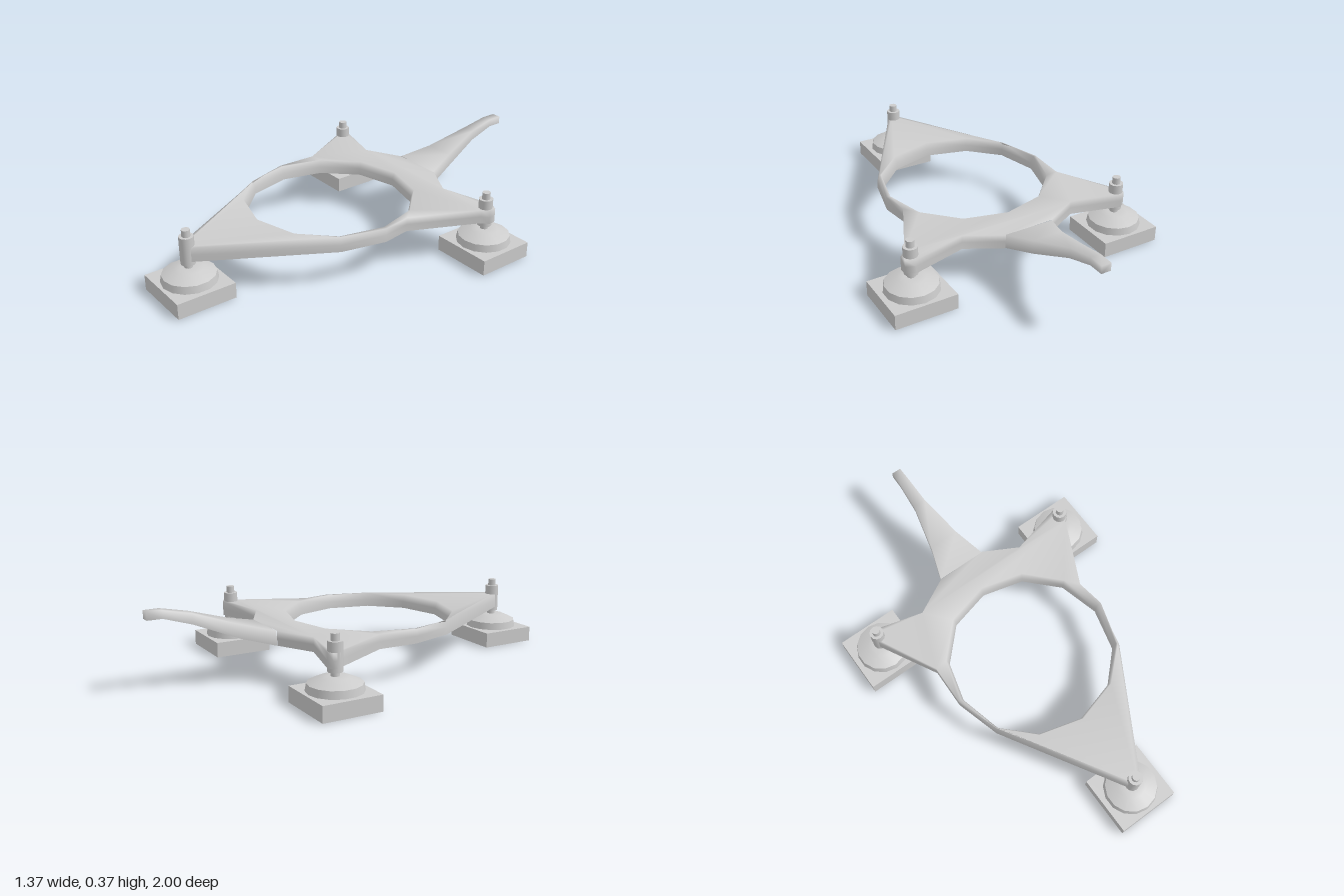
import * as THREE from 'three';
import { mergeVertices } from 'three/addons/utils/BufferGeometryUtils.js';

const material = new THREE.MeshStandardMaterial({ color: 0xcccccc, side: THREE.DoubleSide });
const flat = new THREE.MeshStandardMaterial({ color: 0xcccccc, flatShading: true, side: THREE.DoubleSide });

function add(parent, name, geometry, mat = material) {
  const mesh = new THREE.Mesh(geometry, mat);
  mesh.name = name;
  parent.add(mesh);
}
const points = (list) => list.map(([a, b]) => new THREE.Vector2(a, b));

// Flat ring with three pointed arms, drawn in x and z, hollow underneath
function frameGeometry() {
  const top = 0.24, depth = 0.067, bottom = top - depth;
  const shape = new THREE.Shape(points([
    [0.11, -0.455], [0.275, -0.365], [0.53, -0.43], [0.572, -0.41], [0.575, -0.375], [0.545, -0.35],
    [0.395, -0.035], [0.415, 0.1], [0.365, 0.31], [0.045, 0.86], [0.012, 0.885], [-0.02, 0.86],
    [-0.35, 0.31], [-0.41, 0.1], [-0.405, -0.09], [-0.545, -0.35], [-0.567, -0.38], [-0.565, -0.41],
    [-0.54, -0.425], [-0.3, -0.36], [-0.13, -0.45],
  ]));
  shape.holes.push(new THREE.Path(points([
    [0, -0.285], [0.195, -0.235], [0.335, -0.09], [0.385, 0.1], [0.335, 0.3], [0.2, 0.435],
    [0, 0.49], [-0.2, 0.435], [-0.335, 0.3], [-0.385, 0.1], [-0.335, -0.09], [-0.195, -0.235],
  ])));
  let g = new THREE.ExtrudeGeometry(shape, { depth, steps: 2, bevelEnabled: false });
  g.rotateX(Math.PI / 2).translate(0, top, 0);
  g.clearGroups();
  g.deleteAttribute('normal');
  g.deleteAttribute('uv');
  g = mergeVertices(g);

  // The opening flares towards the top; the front arm is chamfered along its outer edges
  const p = g.attributes.position;
  for (let i = 0; i < p.count; i++) {
    if (p.getY(i) < top - 0.01) continue;
    const x = p.getX(i), z = p.getZ(i) - 0.1;
    if (Math.hypot(x, z) < 0.395) p.setXYZ(i, x * 1.03, top, z * 1.03 + 0.1);
    else if (z > 0.1) p.setX(i, x * 0.965);
  }

  // Leave out the underside and the wall where the tail joins
  const index = [];
  for (let t = 0; t < g.index.count; t += 3) {
    const tri = [0, 1, 2].map((k) => g.index.getX(t + k));
    const under = tri.every((i) => p.getY(i) < bottom + 0.01);
    const joint = tri.every((i) => p.getZ(i) < -0.44);
    if (!under && !joint) index.push(...tri);
  }
  g.setIndex(index);
  g.computeVertexNormals();
  return g;
}

// Tail lofted through three-sided channels: left x, right x, bottom, top, z
function tailGeometry() {
  const sections = [
    [-0.13, 0.11, 0.173, 0.24, -0.452], [-0.08, 0.065, 0.213, 0.278, -0.6],
    [-0.036, 0.025, 0.293, 0.342, -0.8], [-0.029, 0.019, 0.333, 0.37, -0.93],
    [-0.028, 0.018, 0.333, 0.37, -1],
  ];
  const pos = [], index = [];
  for (const [l, r, b, t, z] of sections) pos.push(r, b, z, r, t, z, l, t, z, l, b, z);
  for (let s = 0; s < sections.length - 1; s++) {
    for (let k = 0; k < 3; k++) {
      const a = s * 4 + k;
      index.push(a, a + 4, a + 1, a + 1, a + 4, a + 5);
    }
  }
  const e = (sections.length - 1) * 4;
  index.push(e, e + 2, e + 1, e, e + 3, e + 2);
  const g = new THREE.BufferGeometry();
  g.setAttribute('position', new THREE.Float32BufferAttribute(pos, 3));
  g.setIndex(index);
  g.computeVertexNormals();
  return g;
}

// Hollow square foot, domed cap and levelling post
function createFoot(name, x, z) {
  const foot = new THREE.Group();
  foot.name = name;
  foot.position.set(x, 0, z);
  const w = 0.148, d = 0.14, h = 0.073;

  const walls = new THREE.CylinderGeometry(Math.SQRT2, Math.SQRT2, h, 4, 1, true);
  walls.rotateY(Math.PI / 4).scale(w, 1, d).translate(0, h / 2, 0);
  add(foot, 'footWalls', walls, flat);

  const plate = new THREE.Shape(points([[-w, -d], [w, -d], [w, d], [-w, d]]));
  plate.holes.push(new THREE.Path().absarc(0, 0, 0.122, 0, Math.PI * 2, true));
  add(foot, 'footTop', new THREE.ShapeGeometry(plate, 8).rotateX(-Math.PI / 2).translate(0, h, 0));

  // Straight rim below a shallow cone
  add(foot, 'footRim', new THREE.CylinderGeometry(0.12, 0.126, 0.034, 14, 1, true).translate(0, 0.09, 0));
  add(foot, 'footDome', new THREE.LatheGeometry(points([
    [0.12, 0.107], [0.064, 0.132], [0.03, 0.135], [0, 0.135],
  ]), 14));

  // Post pieces: name, radius, bottom, top
  for (const [part, r, y0, y1] of [
    ['stem', 0.019, 0.13, 0.16], ['post', 0.033, 0.153, 0.284], ['postCap', 0.019, 0.28, 0.316],
  ]) {
    add(foot, part, new THREE.CylinderGeometry(r, r, y1 - y0, 12).translate(0, (y0 + y1) / 2, 0));
  }
  return foot;
}

export function createModel() {
  const model = new THREE.Group();
  model.name = 'tripodBase';
  add(model, 'frame', frameGeometry());
  add(model, 'tail', tailGeometry());
  model.add(
    createFoot('frontFoot', 0.012, 0.86),
    createFoot('leftFoot', 0.534, -0.386),
    createFoot('rightFoot', -0.535, -0.386),
  );
  return model;
}
